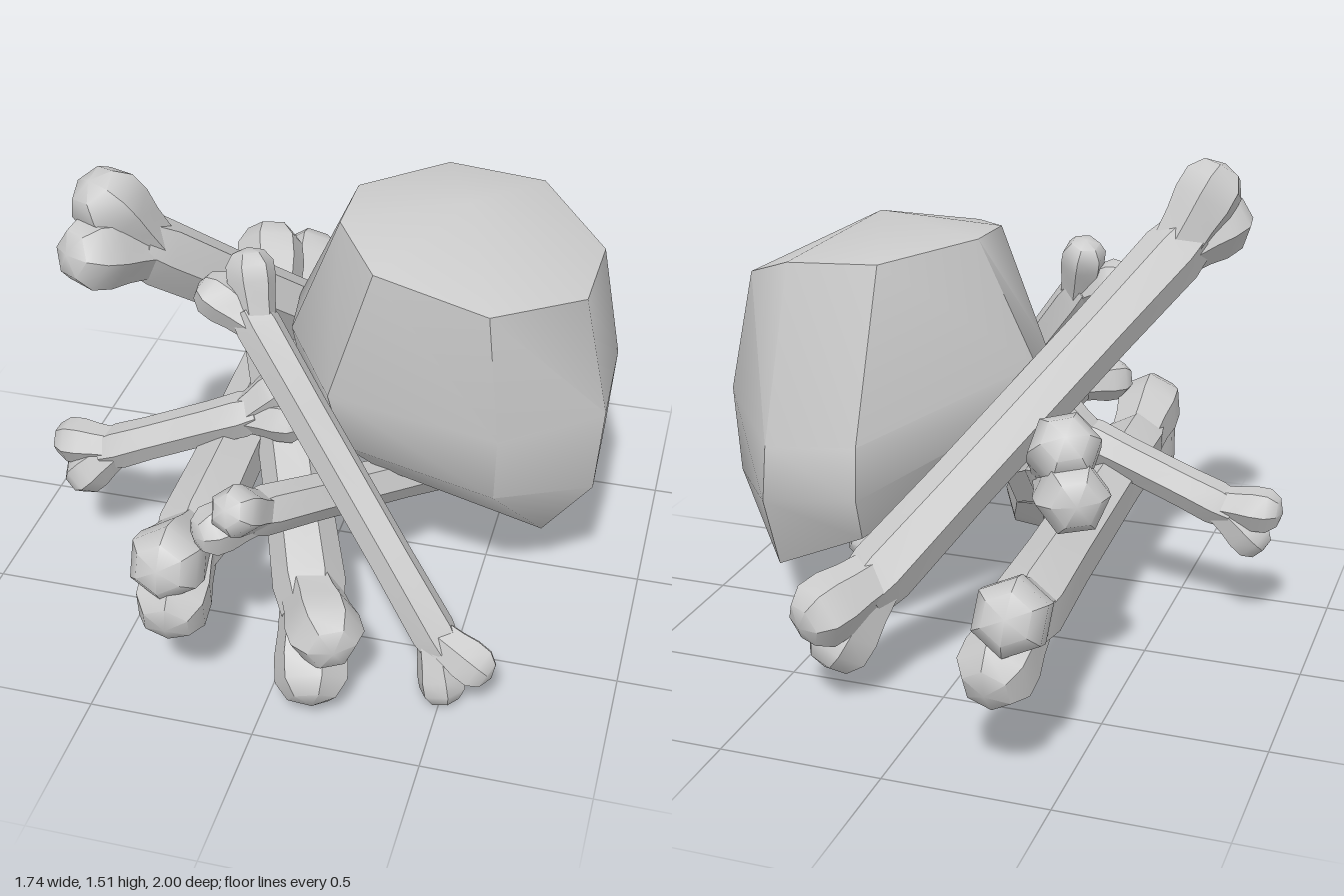
import * as THREE from 'three';
import { toCreasedNormals } from 'three/addons/utils/BufferGeometryUtils.js';

const UP = new THREE.Vector3(0, 1, 0);
const V = (p) => new THREE.Vector3(...p);

export function createModel() {
  const group = new THREE.Group();
  const material = new THREE.MeshStandardMaterial({ color: 0xcccccc });

  // Six-sided faceted spindle running from one point towards another;
  // profile rows are [radius, distance along the axis]
  function spindle(name, from, to, profile) {
    const lathe = new THREE.LatheGeometry(profile.map(([r, y]) => new THREE.Vector2(r, y)), 6);
    const mesh = new THREE.Mesh(toCreasedNormals(lathe, 0.7), material);
    mesh.name = name;
    mesh.position.copy(from);
    mesh.quaternion.setFromUnitVectors(UP, to.clone().sub(from).normalize());
    return mesh;
  }

  // Bone: a shaft with two splayed knobs at each end, given by knob centres
  function bone(name, r, endA, endB) {
    const part = new THREE.Group();
    part.name = name;
    const ends = [endA, endB].map((e) => e.map(V));
    const mids = ends.map(([p, q]) => p.clone().add(q).multiplyScalar(0.5));
    const axis = mids[1].clone().sub(mids[0]).normalize();
    const necks = [
      mids[0].clone().addScaledVector(axis, r * 2),
      mids[1].clone().addScaledVector(axis, -r * 2),
    ];
    const length = necks[0].distanceTo(necks[1]);
    part.add(spindle('shaft', necks[0], necks[1], [
      [0, -r * 0.8], [r * 0.9, -r * 0.8], [r * 1.06, r * 0.1], [r, length * 0.25],
      [r, length * 0.75], [r * 1.06, length - r * 0.1], [r * 0.9, length + r * 0.8], [0, length + r * 0.8],
    ]));
    ends.forEach((pair, i) => pair.forEach((tip) => {
      const d = necks[i].distanceTo(tip);
      part.add(spindle('knob', necks[i], tip, [
        [0, -r * 0.4], [r * 0.82, -r * 0.4], [r * 0.95, d * 0.5], [r * 1.08, d - r * 0.35],
        [r * 1.06, d + r * 0.35], [r * 0.7, d + r * 0.85], [0, d + r * 1.05],
      ]));
    }));
    group.add(part);
  }

  bone('longLeaningBone', 0.1,
    [[-0.55, 1.4, 0.46], [-0.57, 1.28, 0.54]], [[0.3, 0.33, -0.68], [0.29, 0.2, -0.59]]);
  bone('lowFlatBone', 0.107,
    [[-0.27, 0.51, 0.89], [-0.26, 0.37, 0.89]], [[-0.35, 0.51, -0.89], [-0.31, 0.35, -0.89]]);
  bone('crossingBone', 0.104,
    [[-0.34, 0.81, -0.39], [-0.38, 0.69, -0.44]], [[0.17, 0.28, 0.81], [0.13, 0.13, 0.82]]);
  bone('thinFrontBone', 0.067,
    [[-0.17, 1.18, 0.36], [-0.26, 1.1, 0.39]], [[0.59, 0.16, 0.71], [0.5, 0.07, 0.71]]);
  bone('sideBone', 0.068,
    [[-0.8, 0.42, 0.28], [-0.76, 0.32, 0.3]], [[-0.13, 0.7, 0.23], [-0.1, 0.61, 0.26]]);
  bone('shortBone', 0.07,
    [[-0.07, 0.7, 0.86], [-0.14, 0.61, 0.84]], [[0.46, 0.38, -0.07], [0.41, 0.29, -0.07]]);

  // Boulder: octagonal rings from top to bottom, closed by a fan at each end
  const rings = [
    [[0.06, 1.31, 0], [0.28, 1.28, -0.28], [0.58, 1.26, -0.27], [0.8, 1.16, -0.07],
      [0.79, 1.15, 0.22], [0.55, 1.19, 0.46], [0.21, 1.26, 0.43], [0.06, 1.3, 0.22]],
    [[-0.12, 0.92, 0.02], [0.3, 0.75, -0.43], [0.6, 0.72, -0.43], [0.86, 0.78, -0.12],
      [0.87, 0.78, 0.23], [0.59, 0.78, 0.46], [0.08, 0.84, 0.44], [-0.09, 0.92, 0.22]],
    [[-0.08, 0.76, 0.02], [0.3, 0.58, -0.44], [0.61, 0.54, -0.44], [0.84, 0.5, -0.12],
      [0.85, 0.5, 0.22], [0.58, 0.55, 0.42], [0.12, 0.65, 0.41], [-0.06, 0.76, 0.21]],
    [[0.03, 0.6, 0.01], [0.32, 0.42, -0.35], [0.62, 0.28, -0.32], [0.71, 0.26, -0.1],
      [0.69, 0.23, 0.11], [0.51, 0.43, 0.3], [0.2, 0.52, 0.31], [0.05, 0.6, 0.2]],
  ];
  const points = [...rings.flat(), [0.42, 1.35, 0.1], [0.4, 0.47, 0.02]];
  const n = 8, top = n * rings.length, bottom = top + 1, last = n * (rings.length - 1);
  const index = [];
  for (let i = 0; i < n; i++) {
    const j = (i + 1) % n;
    index.push(top, j, i, bottom, last + i, last + j);
    for (let k = 0; k < last; k += n) {
      index.push(k + i, k + j, k + n + i, k + j, k + n + j, k + n + i);
    }
  }
  const rock = new THREE.BufferGeometry();
  rock.setAttribute('position', new THREE.Float32BufferAttribute(points.flat(), 3));
  rock.setIndex(index);
  const boulder = new THREE.Mesh(toCreasedNormals(rock, 0.78), material);
  boulder.name = 'boulder';
  group.add(boulder);

  return group;
}
